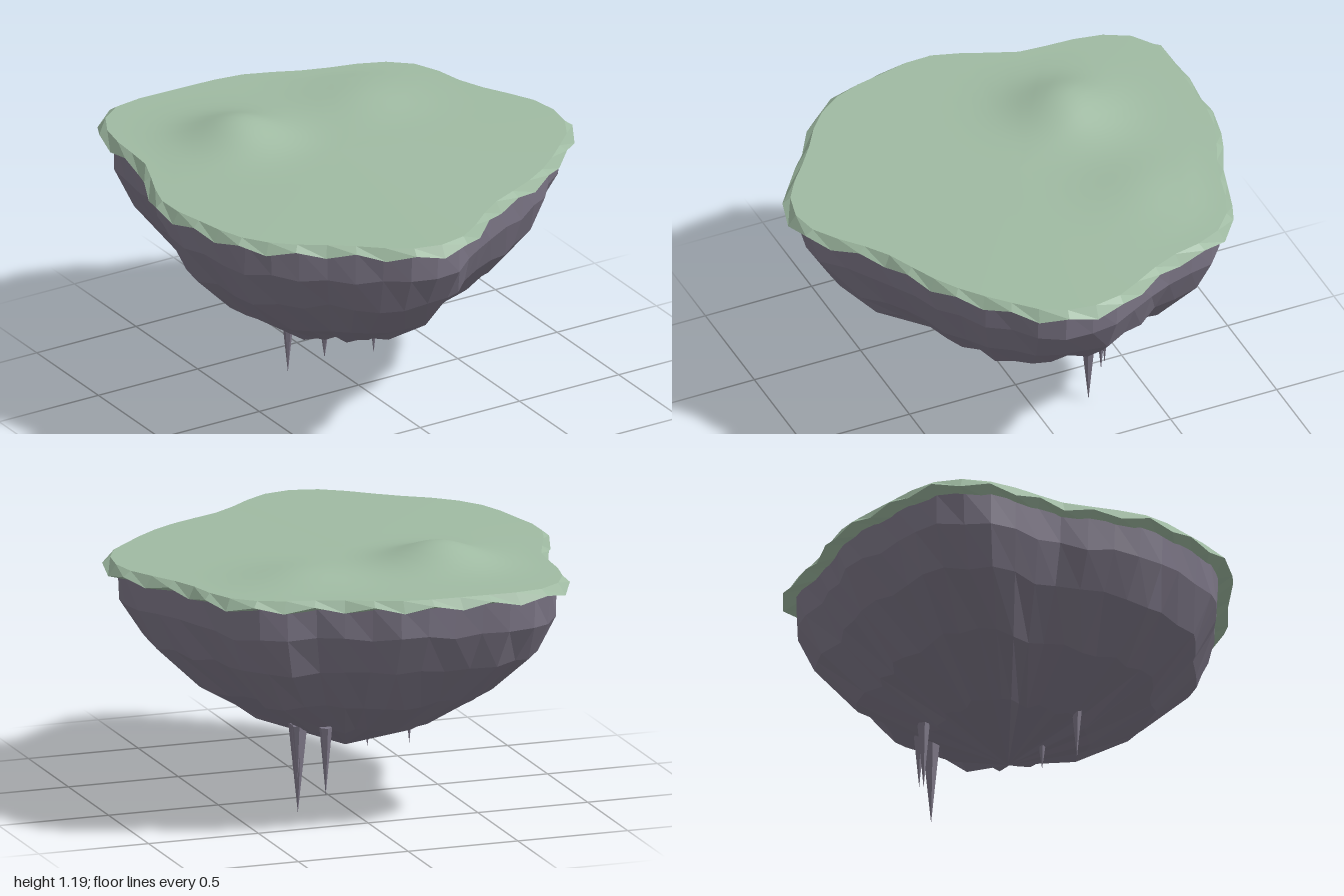
import * as THREE from 'three';

const SEGMENTS = 48;
const CENTRE = { x: -0.06, z: -0.05 };

// Irregular coastline seen from above, as [x, z] from the right side round by the front
const COAST = [
  [0.98, 0.06], [0.96, 0.19], [0.91, 0.29], [0.82, 0.38], [0.69, 0.5], [0.57, 0.59], [0.46, 0.65],
  [0.3, 0.72], [0.22, 0.76], [0.05, 0.9], [-0.06, 0.97], [-0.18, 0.99], [-0.3, 0.96], [-0.42, 0.88],
  [-0.56, 0.76], [-0.75, 0.63], [-0.83, 0.55], [-0.89, 0.46], [-0.93, 0.35], [-0.96, 0.21], [-0.99, 0.07],
  [-0.99, -0.05], [-0.94, -0.2], [-0.85, -0.42], [-0.84, -0.63], [-0.81, -0.8], [-0.75, -0.91],
  [-0.65, -0.98], [-0.53, -1], [-0.34, -0.995], [-0.14, -0.99], [0.04, -0.96], [0.13, -0.92],
  [0.29, -0.85], [0.51, -0.79], [0.62, -0.74], [0.7, -0.67], [0.75, -0.57], [0.8, -0.37],
  [0.9, -0.18], [0.96, -0.06],
];
const coast = new THREE.CatmullRomCurve3(COAST.map(([x, z]) => new THREE.Vector3(x, 0, z)), true)
  .getSpacedPoints(SEGMENTS).slice(0, SEGMENTS);

// Small seeded generator, -1 to 1
let seed = 11;
function jitter() {
  seed = (seed * 16807) % 2147483647;
  return (seed / 2147483647) * 2 - 1;
}

// The coastline scaled towards the centre; scale and height may vary per point
function ring(scale, height) {
  return coast.map((p, i) => {
    const s = typeof scale === 'function' ? scale(i) : scale;
    const x = CENTRE.x + (p.x - CENTRE.x) * s;
    const z = CENTRE.z + (p.z - CENTRE.z) * s;
    return [x, typeof height === 'function' ? height(x, z, i) : height, z];
  });
}

// Skin a list of rings, running from the top (or middle) outwards and down
function loft(rings) {
  const index = [];
  for (let r = 0; r < rings.length - 1; r++) {
    for (let i = 0; i < SEGMENTS; i++) {
      const j = (i + 1) % SEGMENTS;
      const a = r * SEGMENTS, b = a + SEGMENTS;
      index.push(a + i, a + j, b + i, a + j, b + j, b + i);
    }
  }
  const geometry = new THREE.BufferGeometry();
  geometry.setAttribute('position', new THREE.Float32BufferAttribute(rings.flat(2), 3));
  geometry.setIndex(index);
  geometry.computeVertexNormals();
  return geometry;
}

// Gently domed ground with two soft hills
function groundHeight(x, z, t) {
  const hill = (cx, cz, h, w) => h * Math.exp(-((x - cx) ** 2 + (z - cz) ** 2) / (2 * w * w));
  const fade = Math.min(1, (1 - t) * 6);
  return 1.093 + 0.014 * (1 - t) + fade * (hill(-0.36, -0.4, 0.09, 0.145) + hill(0.3, -0.46, 0.03, 0.16));
}

export function createModel() {
  const island = new THREE.Group();
  island.name = 'floatingIsland';

  const grass = new THREE.MeshStandardMaterial({ color: 0x9fbaa2 });
  const grassEdge = new THREE.MeshStandardMaterial({ color: 0x9fbaa2, flatShading: true });
  const rock = new THREE.MeshStandardMaterial({ color: 0x7b7585, flatShading: true });

  const add = (name, geometry, material) => {
    const mesh = new THREE.Mesh(geometry, material);
    mesh.name = name;
    island.add(mesh);
    return mesh;
  };

  // Grass top
  const RINGS = 24;
  const topRings = [];
  for (let r = 0; r <= RINGS; r++) {
    const t = r / RINGS;
    topRings.push(ring(0.967 * t, (x, z) => groundHeight(x, z, t)));
  }
  add('grassTop', loft(topRings), grass);

  // Overhanging skirt with a toothed hem, turned back under to the rock
  const hem = (x, z, i) => (i % 2 ? 1.068 : 1.042);
  add('grassSkirt', loft([ring(0.967, 1.093), ring(1, hem), ring(0.91, 1.036)]), grassEdge);

  // Rock underside: [scale, height, radial roughness, height roughness]
  const grooves = coast.map(() => jitter());
  const levels = [
    [0.937, 1.05, 0.006, 0],
    [0.93, 0.91, 0.015, 0.012],
    [0.845, 0.74, 0.03, 0.014],
    [0.645, 0.545, 0.04, 0.014],
    [0.355, 0.37, 0.035, 0.014],
    [0, 0.23, 0, 0],
  ];
  add('rockUnderside', loft(levels.map(([scale, height, rough, bump]) => ring(
    (i) => scale + rough * (0.6 * grooves[i] + 0.4 * jitter()),
    () => height + bump * jitter(),
  ))), rock);

  // Hanging rock spikes: [x, z, tip height, top height, radius]
  const spikes = [
    [0.225, -0.24, 0, 0.4, 0.042],
    [0.14, -0.355, 0.1, 0.4, 0.028],
    [0.245, -0.29, 0.16, 0.4, 0.024],
    [-0.39, 0.055, 0.18, 0.4, 0.022],
    [-0.19, 0.03, 0.19, 0.4, 0.03],
  ];
  for (const [x, z, tip, top, radius] of spikes) {
    const cone = new THREE.ConeGeometry(radius, top - tip, 6).rotateX(Math.PI);
    add('rockSpike', cone, rock).position.set(x, (tip + top) / 2, z);
  }

  return island;
}
